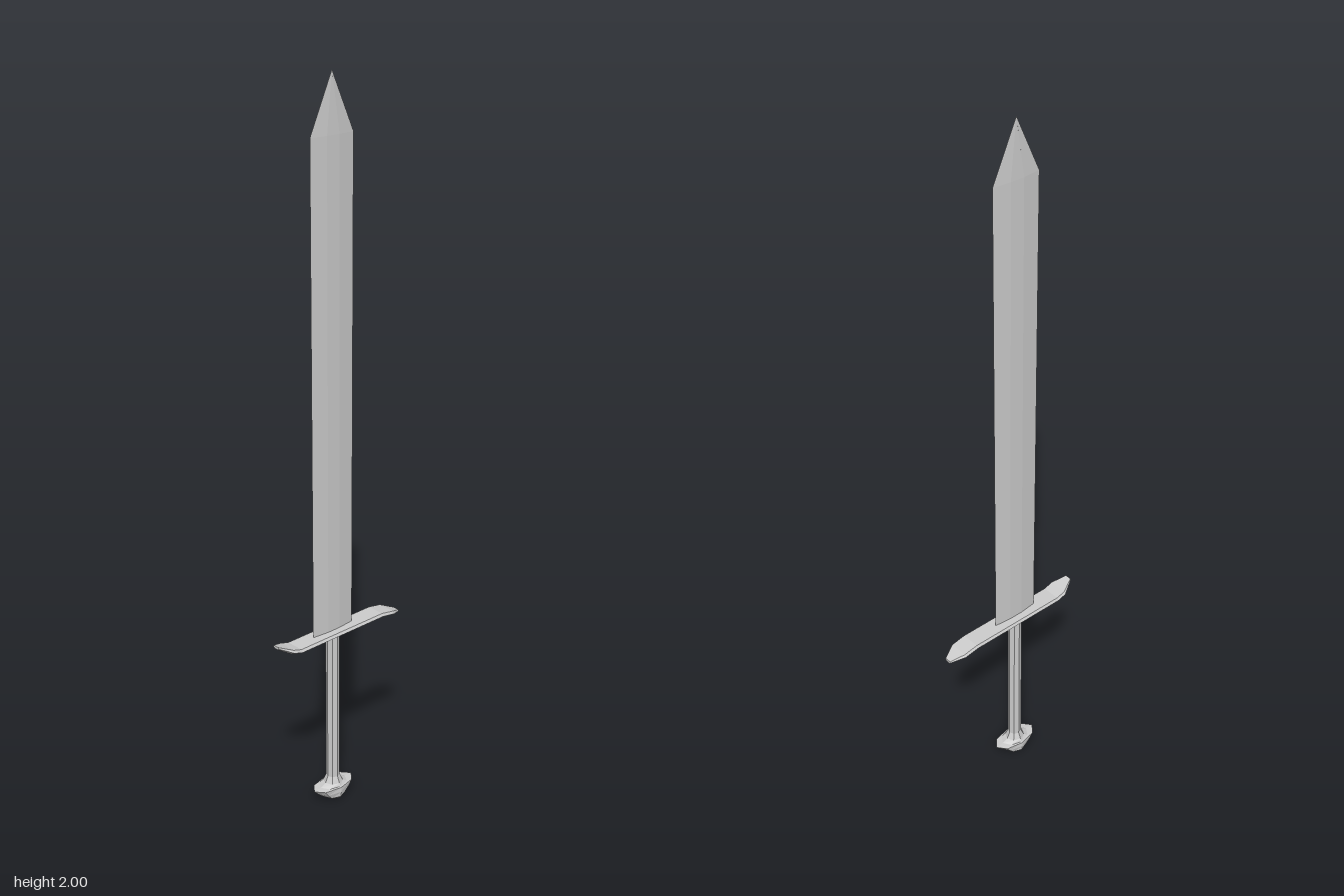
import * as THREE from 'three';

const material = new THREE.MeshStandardMaterial({ color: 0xcccccc, flatShading: true, side: THREE.DoubleSide });
const AXIS_Z = 0.02; // blade, grip and pommel share this axis

// Joins equal-sized rings of [x, y, z] points and caps both ends.
function loft(name, rings) {
  const n = rings[0].length;
  const last = (rings.length - 1) * n;
  const index = [];
  for (let r = 0; r < rings.length - 1; r++) {
    for (let i = 0; i < n; i++) {
      const a = r * n + i, b = r * n + (i + 1) % n;
      index.push(a, b, b + n, a, b + n, a + n);
    }
  }
  for (let i = 1; i < n - 1; i++) {
    index.push(0, i + 1, i, last, last + i, last + i + 1);
  }
  const indexed = new THREE.BufferGeometry();
  indexed.setAttribute('position', new THREE.Float32BufferAttribute(rings.flat(2), 3));
  indexed.setIndex(index);
  const geometry = indexed.toNonIndexed();
  geometry.computeVertexNormals();
  const mesh = new THREE.Mesh(geometry, material);
  mesh.name = name;
  return mesh;
}

// Horizontal polygon around the sword axis.
function ring(y, rx, rz, sides = 8) {
  return Array.from({ length: sides }, (_, i) => {
    const t = (i / sides) * Math.PI * 2;
    return [Math.sin(t) * rx, y, AXIS_Z + Math.cos(t) * rz];
  });
}

// Thin six-sided blade section.
function bladeRing(y, halfWidth, halfFlat, halfThick) {
  return [[0, halfWidth], [halfThick, halfFlat], [halfThick, -halfFlat],
    [0, -halfWidth], [-halfThick, -halfFlat], [-halfThick, halfFlat]]
    .map(([x, z]) => [x, y, AXIS_Z + z]);
}

// Crossguard section: flat top, bevelled underside.
function guardRing(z, y, halfWidth, thick) {
  const low = halfWidth * 0.55;
  return [[-low, -thick / 2], [low, -thick / 2], [halfWidth, 0],
    [halfWidth * 0.85, thick / 2], [-halfWidth * 0.85, thick / 2], [-halfWidth, 0]]
    .map(([x, dy]) => [x, y + dy, z]);
}

export function createModel() {
  const sword = new THREE.Group();
  sword.name = 'sword';

  // Blade with a short triangular point
  sword.add(loft('blade', [
    bladeRing(0.52, 0.07, 0.02, 0.005),
    bladeRing(1.85, 0.07, 0.02, 0.005),
    bladeRing(2, 0.0005, 0.0002, 0.0003),
  ]));

  // Crossguard: one end dips, the other curls upward
  sword.add(loft('crossguard', [
    [-0.22, 0.503, 0.011, 0.008],
    [-0.182, 0.515, 0.031, 0.014],
    [-0.14, 0.522, 0.031, 0.015],
    [0.155, 0.522, 0.031, 0.015],
    [0.182, 0.53, 0.031, 0.015],
    [0.22, 0.549, 0.011, 0.008],
  ].map((s) => guardRing(...s))));

  // Faceted grip
  sword.add(loft('grip', [ring(0.06, 0.019, 0.019), ring(0.52, 0.019, 0.019)]));

  // Pommel with upswept pointed ends and a flare into the grip
  sword.add(loft('pommel', [
    [0, 0.02, 0.012],
    [0.012, 0.033, 0.036],
    [0.028, 0.035, 0.055],
    [0.043, 0.035, 0.07],
    [0.045, 0.032, 0.045],
    [0.053, 0.027, 0.028],
    [0.072, 0.019, 0.019],
  ].map((s) => ring(...s))));

  return sword;
}
